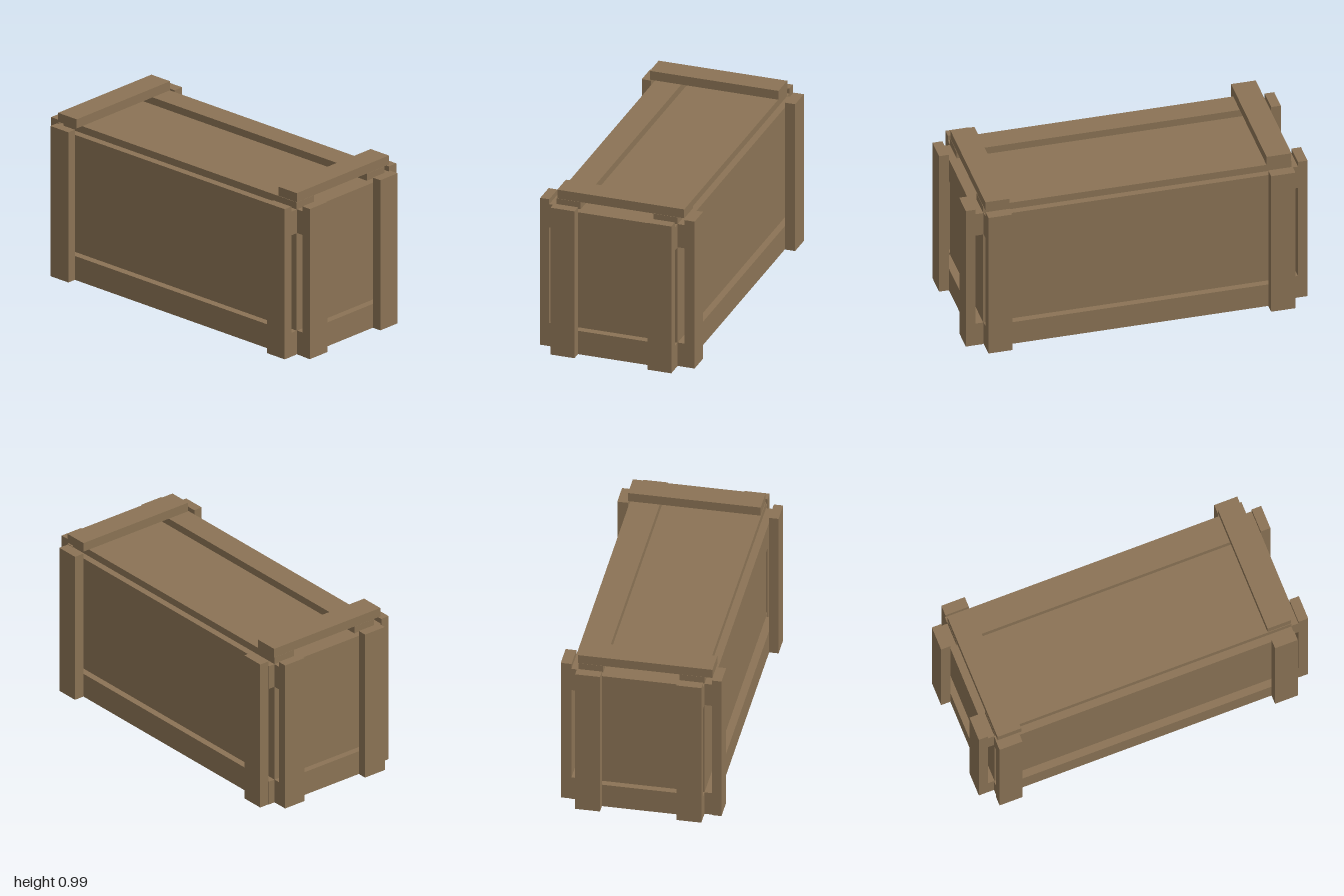
import * as THREE from 'three';

export function createModel() {
  const crate = new THREE.Group();
  crate.name = 'crate';
  const wood = new THREE.MeshStandardMaterial({ color: 0x8b7355 });
  wood.name = 'brown wood';

  // Plank given by its extents along each axis
  const plank = (name, [x0, x1], [y0, y1], [z0, z1]) => {
    const mesh = new THREE.Mesh(new THREE.BoxGeometry(x1 - x0, y1 - y0, z1 - z0), wood);
    mesh.position.set((x0 + x1) / 2, (y0 + y1) / 2, (z0 + z1) / 2);
    mesh.name = name;
    crate.add(mesh);
  };

  const postHeight = [0, 0.918];
  const railHeights = { lower: [0, 0.146], upper: [0.742, 0.887] };

  // Box body
  plank('body', [-0.905, 0.898], [0.002, 0.886], [-0.362, 0.365]);

  // Horizontal rails around the sides
  for (const [level, height] of Object.entries(railHeights)) {
    plank(level + 'FrontRail', [-0.908, 0.898], height, [0.365, 0.41]);
    plank(level + 'BackRail', [-0.905, 0.895], height, [-0.402, -0.362]);
    plank(level + 'LeftRail', [0.898, 0.942], height, [-0.362, 0.362]);
    plank(level + 'RightRail', [-0.944, -0.905], height, [-0.362, 0.365]);
  }

  // Upright posts on the front and back
  plank('frontRightPost', [-0.913, -0.774], postHeight, [0.41, 0.464]);
  plank('frontLeftPost', [0.76, 0.898], postHeight, [0.41, 0.464]);
  plank('backRightPost', [-0.902, -0.76], postHeight, [-0.464, -0.402]);
  plank('backLeftPost', [0.755, 0.895], postHeight, [-0.464, -0.402]);

  // Upright posts on both ends, and long rails on the lid
  for (const [end, depth] of [['front', [0.221, 0.365]], ['back', [-0.362, -0.219]]]) {
    plank(end + 'LeftEndPost', [0.942, 1], postHeight, depth);
    plank(end + 'RightEndPost', [-1, -0.944], postHeight, depth);
    plank(end + 'LidRail', [-0.905, 0.898], [0.886, 0.93], depth);
  }

  // Cross battens on the lid, each overhanging one long side
  plank('rightLidBatten', [-0.904, -0.76], [0.93, 0.985], [-0.364, 0.41]);
  plank('leftLidBatten', [0.755, 0.896], [0.93, 0.985], [-0.402, 0.362]);

  return crate;
}
